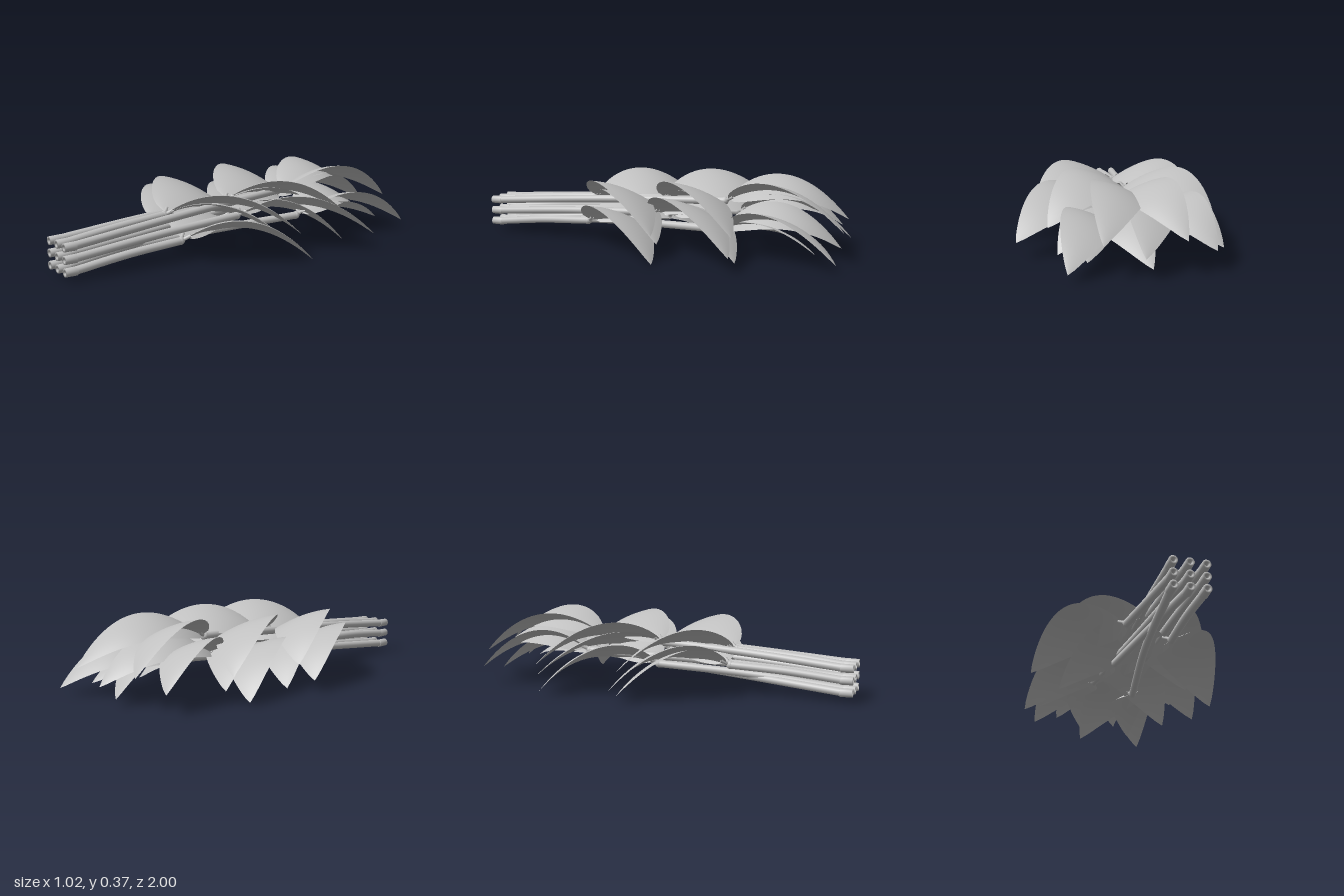
import * as THREE from 'three';

// Arched, pointed leaf; its outer edge is rolled upward and the arch leans inward
function leafGeometry(base, tip, width, rise) {
  const rows = 24, cols = 8, pos = [], idx = [];
  const heading = new THREE.Vector3(tip.x - base.x, 0, tip.z - base.z).normalize();
  const side = heading.x < 0 ? -1 : 1;
  const outer = new THREE.Vector3(-heading.z * side, 0, heading.x * side);
  const arch = new THREE.CubicBezierCurve(
    new THREE.Vector2(0, base.y), new THREE.Vector2(0.3, base.y + rise),
    new THREE.Vector2(0.68, base.y + rise * 0.85), new THREE.Vector2(1, tip.y));
  for (let i = 0; i <= rows; i++) {
    const t = i / rows;
    const mid = base.clone().lerp(tip, t);
    const y = arch.getPoint(t).y;
    mid.addScaledVector(outer, -0.12 * (y - mid.y));
    mid.y = y;
    const half = width * 2.7 * Math.pow(t, 0.6) * Math.pow(1 - t, 0.88);
    for (let j = 0; j <= cols; j++) {
      const s = (j / cols) * 2 - 1;
      const p = mid.clone().addScaledVector(outer, s * half * 0.95);
      p.y += s * half * 0.36 - s * s * half * 0.12;
      pos.push(p.x, p.y, p.z);
    }
  }
  const n = cols + 1;
  for (let i = 0; i < rows; i++) {
    for (let j = 0; j < cols; j++) {
      const a = i * n + j, b = a + 1, c = a + n, d = c + 1;
      if (side > 0) idx.push(a, b, c, b, d, c);
      else idx.push(a, c, b, b, c, d);
    }
  }
  const g = new THREE.BufferGeometry();
  g.setAttribute('position', new THREE.Float32BufferAttribute(pos, 3));
  g.setIndex(idx);
  g.computeVertexNormals();
  return g;
}

// Each sprig: cut-end column and row, upper end of the stem, leaf tips
const sprigs = [
  // front tier
  { col: 1, row: 2, end: [-0.02, 0.22, 0.4], tips: [[-0.42, 0.13, -0.1], [0.42, 0.13, -0.13]] },
  { col: 0, row: 1, end: [-0.13, 0.16, 0.4], tips: [[-0.515, 0.065, -0.09], [0.33, 0.07, -0.12]] },
  { col: 2, row: 0, end: [0.1, 0.11, 0.38], tips: [[-0.36, 0.005, -0.12], [0.478, 0.005, -0.16]] },
  // middle tier
  { col: 0, row: 2, end: [-0.04, 0.235, 0.01], tips: [[-0.43, 0.14, -0.54], [0.36, 0.14, -0.52], [0.12, 0.24, -0.38]] },
  { col: 2, row: 1, end: [0.07, 0.175, 0.01], tips: [[-0.4, 0.07, -0.56], [0.508, 0.08, -0.555]] },
  { col: 1, row: 0, end: [-0.09, 0.13, 0], tips: [[-0.485, 0.02, -0.49], [0.315, 0.01, -0.52]] },
  // rear tier
  { col: 2, row: 2, end: [-0.01, 0.25, -0.35], tips: [[-0.23, 0.16, -0.94], [0.14, 0.16, -1]] },
  { col: 1, row: 1, end: [-0.12, 0.18, -0.38], tips: [[-0.37, 0.1, -0.88], [-0.04, 0.1, -1]] },
  { col: 0, row: 0, end: [0.1, 0.125, -0.37], tips: [[-0.08, 0.04, -0.94], [0.29, 0.04, -1], [0.2, 0.06, -0.88]] },
];

export function createModel() {
  const group = new THREE.Group();
  const gray = new THREE.MeshStandardMaterial({ color: 0xc0c0c0, side: THREE.DoubleSide });
  gray.name = 'plain gray';
  const add = (parent, geometry, name) => {
    const m = new THREE.Mesh(geometry, gray);
    m.name = name;
    parent.add(m);
    return m;
  };

  // Hollow collar around the cut end of a stem
  const collar = new THREE.LatheGeometry(
    [[0.011, -0.05], [0.011, 0], [0.021, 0], [0.022, -0.06], [0.018, -0.062]]
      .map(([r, y]) => new THREE.Vector2(r, y)).reverse(), 14);
  collar.rotateX(Math.PI / 2);

  sprigs.forEach(({ col, row, end, tips }, k) => {
    const sprig = new THREE.Group();
    sprig.name = 'sprig' + (k + 1);
    group.add(sprig);
    const x = (col - 1) * 0.075 - 0.005, y = 0.056 + row * 0.06;
    const top = new THREE.Vector3(...end);

    // Gently rising stem
    const midZ = (0.96 + top.z) / 2;
    const path = new THREE.CatmullRomCurve3([
      new THREE.Vector3(x, y, 0.96),
      new THREE.Vector3(x + (top.x - x) * 0.4, y + (top.y - y) * 0.62, midZ),
      top]);
    add(sprig, new THREE.TubeGeometry(path, 16, 0.02, 12), 'stem');
    add(sprig, new THREE.SphereGeometry(0.021, 12, 8), 'stemTip').position.copy(top);
    add(sprig, collar, 'stemEnd').position.set(x, y, 1);

    tips.forEach((tipAt, i) => {
      const tip = new THREE.Vector3(...tipAt);
      const dir = tip.clone().sub(top).setY(0).normalize();
      const base = top.clone().addScaledVector(dir, 0.02);
      base.y += 0.01;
      // Short leaf stalk
      const stalk = new THREE.LineCurve3(top, base.clone().addScaledVector(dir, 0.03).setY(base.y + 0.015));
      add(sprig, new THREE.TubeGeometry(stalk, 2, 0.009, 8), 'leafStalk');
      const extra = i > 1;
      const width = extra ? 0.09 : k < 6 ? 0.15 : 0.13;
      add(sprig, leafGeometry(base, tip, width, extra ? 0.06 : 0.135), 'leaf');
    });
  });
  return group;
}
